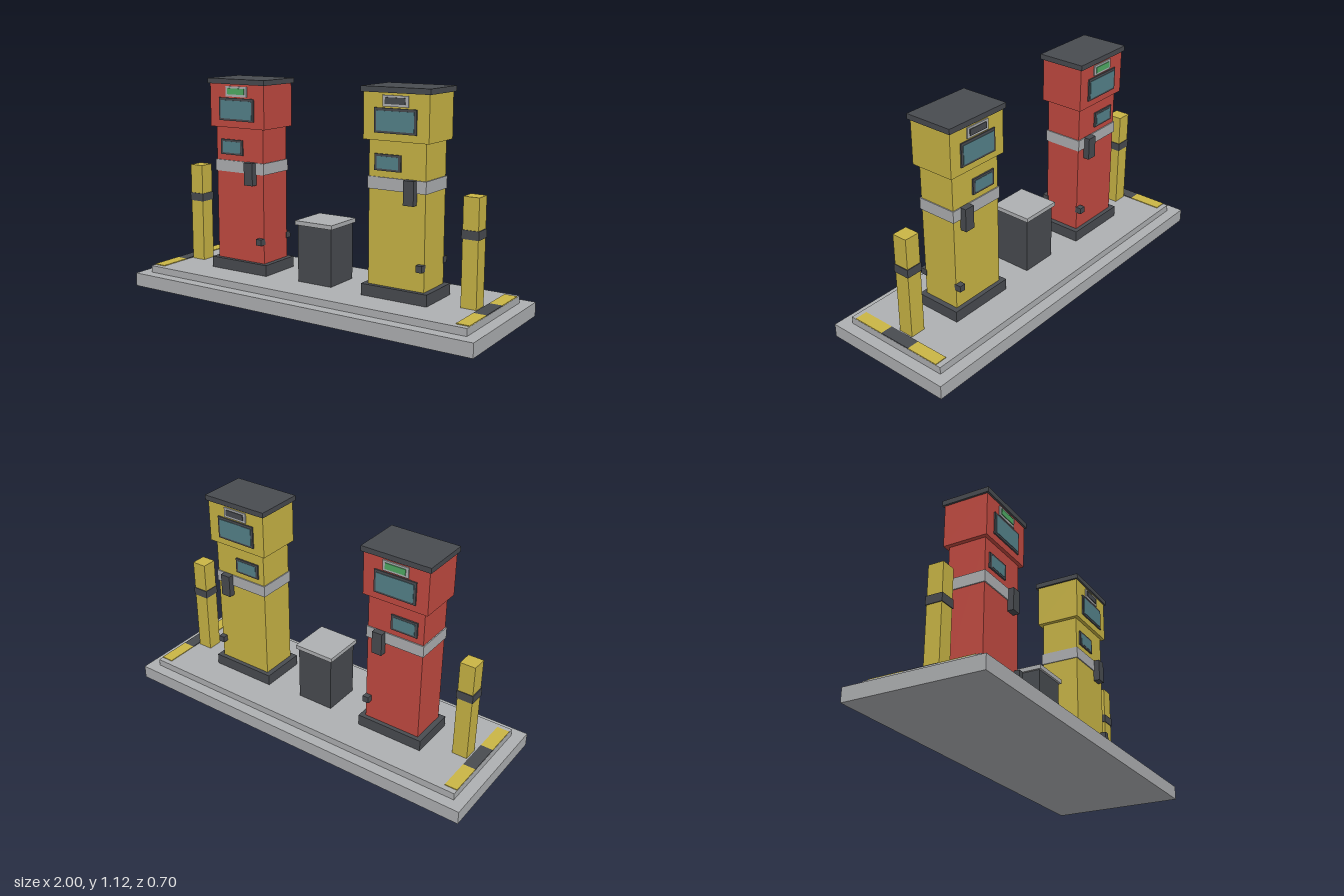
import * as THREE from 'three';

const mat = (name, color) => Object.assign(new THREE.MeshStandardMaterial({ color }), { name });

export function createModel() {
  const yellow = mat('yellow', 0xc9b545);
  const red = mat('red', 0xc24a41);
  const dark = mat('charcoal', 0x484b50);
  const grey = mat('concrete grey', 0xaeb0b2);
  const glass = mat('teal glass', 0x55828a);
  const green = mat('display green', 0x50aa64);

  // Box given by its centre x, bottom and top y, centre z, width and depth
  const box = (parent, name, material, x, y0, y1, z, w, d) => {
    const mesh = new THREE.Mesh(new THREE.BoxGeometry(w, y1 - y0, d), material);
    mesh.position.set(x, (y0 + y1) / 2, z);
    mesh.name = name;
    parent.add(mesh);
  };
  const group = (parent, name, x) => {
    const g = new THREE.Group();
    g.name = name;
    g.position.x = x;
    parent.add(g);
    return g;
  };

  const model = new THREE.Group();
  model.name = 'fuelIsland';

  // Stepped island
  box(model, 'islandBase', grey, 0, 0, 0.071, 0, 2, 0.705);
  box(model, 'islandTop', grey, 0, 0.071, 0.108, 0, 1.88, 0.587);

  // Pumps, with the same fittings on front and back
  const pump = (name, x, paint, display) => {
    const g = group(model, name, x);
    box(g, 'plinth', dark, 0, 0.108, 0.166, 0, 0.36, 0.245);
    box(g, 'body', paint, 0, 0.166, 0.873, 0, 0.305, 0.2);
    box(g, 'band', grey, 0, 0.637, 0.697, 0, 0.316, 0.212);
    box(g, 'head', paint, 0, 0.873, 1.098, 0, 0.35, 0.238);
    box(g, 'cap', dark, 0, 1.098, 1.125, 0, 0.37, 0.259);
    for (const s of [1, -1]) {
      box(g, 'screenFrame', dark, 0, 0.909, 1.027, s * 0.12, 0.224, 0.012);
      box(g, 'screen', glass, 0, 0.92, 1.014, s * 0.125, 0.2, 0.007);
      box(g, 'displayFrame', grey, 0, 1.034, 1.087, s * 0.12, 0.137, 0.01);
      box(g, 'display', display, 0, 1.046, 1.077, s * 0.125, 0.108, 0.008);
      box(g, 'keypadFrame', dark, -0.048, 0.728, 0.808, s * 0.102, 0.143, 0.012);
      box(g, 'keypad', glass, -0.048, 0.738, 0.797, s * 0.106, 0.115, 0.007);
      box(g, 'nozzle', dark, 0.08, 0.58, 0.698, s * 0.118, 0.055, 0.034);
      box(g, 'hoseSocket', dark, 0.138, 0.268, 0.301, s * 0.111, 0.033, 0.036);
    }
  };
  pump('redPump', -0.47, red, green);
  pump('yellowPump', 0.47, yellow, dark);

  // Bin between the pumps
  const bin = group(model, 'bin', 0);
  box(bin, 'binBody', dark, 0, 0.108, 0.405, 0, 0.2, 0.2);
  box(bin, 'binLid', grey, 0, 0.405, 0.427, 0, 0.222, 0.222);

  // Bollards and painted kerb stripes at both ends
  for (const s of [1, -1]) {
    const post = group(model, s > 0 ? 'leftBollard' : 'rightBollard', s * 0.825);
    box(post, 'post', yellow, 0, 0.108, 0.638, 0, 0.08, 0.08);
    box(post, 'postBand', dark, 0, 0.439, 0.482, 0, 0.088, 0.088);
    for (const i of [-1, 0, 1]) {
      box(model, 'kerbStripe', i ? yellow : dark, s * 0.906, 0.107, 0.112, i * 0.177, 0.066, 0.177);
    }
  }
  return model;
}
